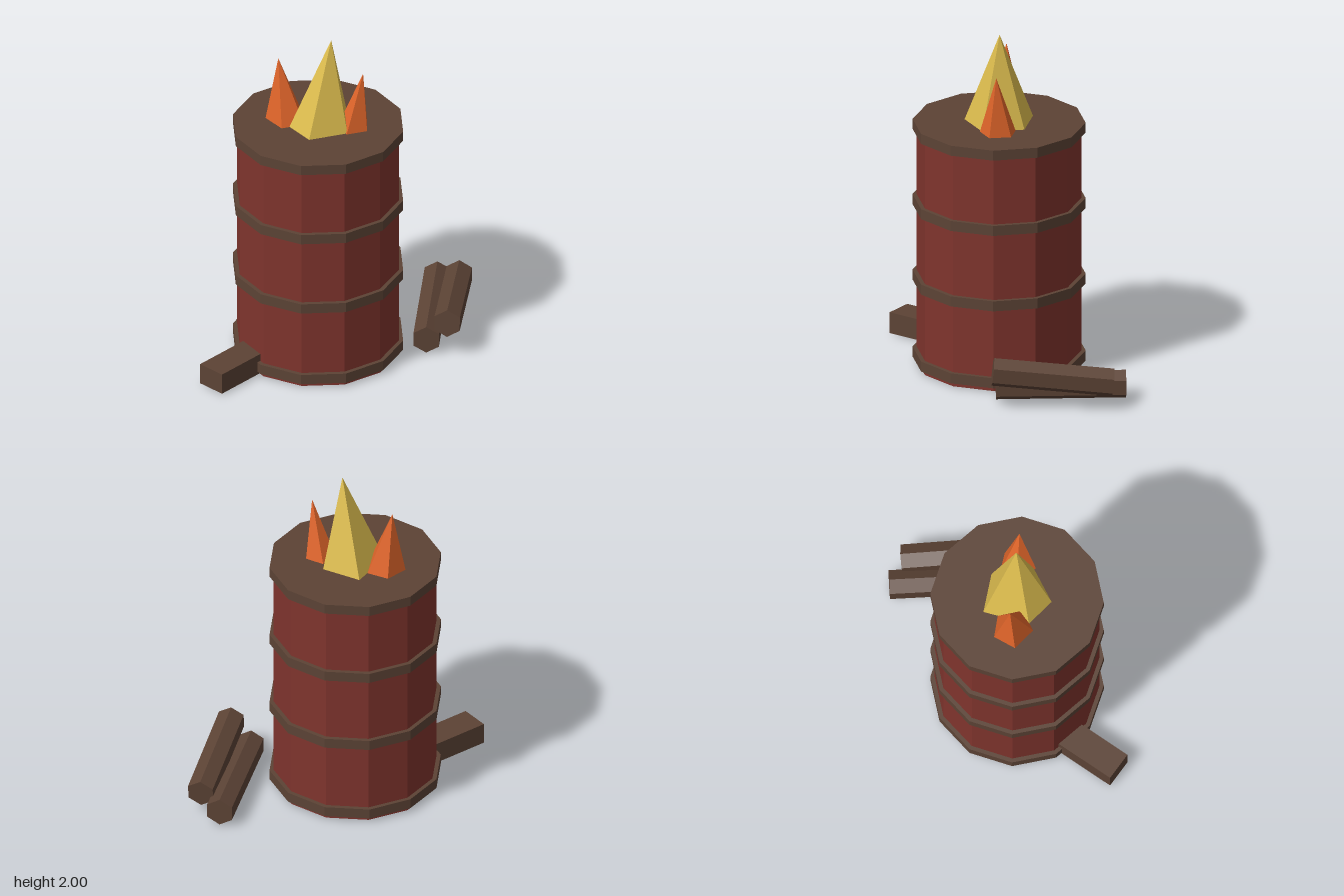
import * as THREE from 'three';
import { ConvexGeometry } from 'three/addons/geometries/ConvexGeometry.js';

const paint = (name, color) => {
  const m = new THREE.MeshStandardMaterial({ color, flatShading: true });
  m.name = name;
  return m;
};

export function createModel() {
  const red = paint('rusty red', 0x7f342d);
  const brown = paint('dark brown', 0x5c4335);
  const orange = paint('flame orange', 0xe0652a);
  const yellow = paint('flame yellow', 0xdcbc4e);

  const model = new THREE.Group();
  model.name = 'fireBarrel';
  const add = (name, geometry, material, parent = model) => {
    const mesh = new THREE.Mesh(geometry, material);
    mesh.name = name;
    parent.add(mesh);
    return mesh;
  };

  // Twelve-sided drum; the top hoop doubles as the lid
  const barrel = new THREE.Group();
  barrel.name = 'barrel';
  barrel.position.x = -0.11;
  model.add(barrel);
  add('drum', new THREE.CylinderGeometry(0.466, 0.466, 1.44, 12), red, barrel).position.y = 0.72;
  [0.055, 0.518, 0.972, 1.425].forEach((y, i) => {
    add(i === 3 ? 'lid' : 'hoop', new THREE.CylinderGeometry(0.49, 0.49, 0.06, 12), brown, barrel).position.y = y;
  });

  // Leaning five-sided flames: apex and base corners [x, z] on the lid
  const flame = (name, material, apex, base) => {
    const points = base.map(([x, z]) => new THREE.Vector3(x, 1.45, z));
    points.push(new THREE.Vector3(...apex));
    add(name, new ConvexGeometry(points), material);
  };
  flame('mainFlame', yellow, [-0.042, 2, 0.03],
    [[-0.1, -0.21], [0.085, -0.065], [0.01, 0.165], [-0.22, 0.165], [-0.28, -0.01]]);
  flame('backFlame', orange, [-0.3, 1.835, -0.14],
    [[-0.26, -0.222], [-0.155, -0.146], [-0.19, -0.005], [-0.325, -0.005], [-0.375, -0.146]]);
  flame('frontFlame', orange, [0.115, 1.805, 0.128],
    [[0.075, -0.015], [0.162, 0.057], [0.123, 0.176], [0, 0.176], [-0.01, 0.05]]);

  // Squared beam, its inner end sunk into the drum
  const beam = add('beam', new THREE.BoxGeometry(0.55, 0.125, 0.17), brown);
  beam.rotation.y = 0.49;
  beam.position.set(-0.84 + 0.275 * Math.cos(0.49), 0.0675, 0.275 - 0.275 * Math.sin(0.49));

  // Six-sided logs laid from one end point to the other
  const log = (name, from, to) => {
    const a = new THREE.Vector3(...from), b = new THREE.Vector3(...to);
    const geometry = new THREE.CylinderGeometry(0.083, 0.083, a.distanceTo(b), 6);
    geometry.rotateX(Math.PI / 2);
    const mesh = add(name, geometry, brown);
    mesh.position.copy(a).add(b).multiplyScalar(0.5);
    mesh.lookAt(b);
  };
  log('lowerLog', [0.437, 0.09, 0.287], [0.73, 0.09, -0.385]);
  log('upperLog', [0.538, 0.217, 0.357], [0.818, 0.146, -0.262]);

  return model;
}
